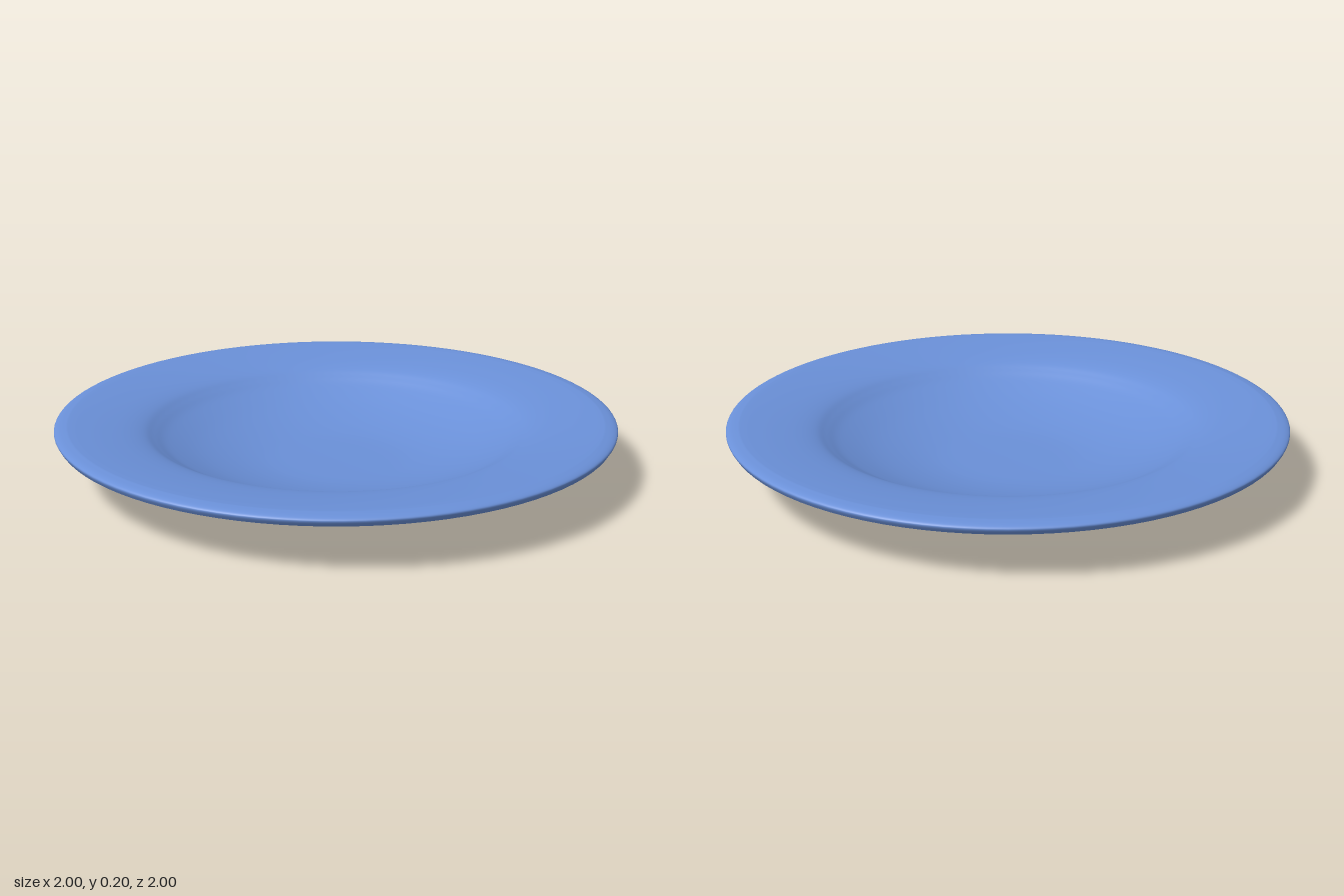
import * as THREE from 'three';

const SEGMENTS = 96;

// Smooth curve through a few [radius, height] points
function smoothProfile(points, divisions) {
  const curve = new THREE.SplineCurve(points.map(([r, y]) => new THREE.Vector2(r, y)));
  return curve.getPoints(divisions).map((p) => p.set(Math.max(p.x, 0), Math.max(p.y, 0)));
}

function lathePart(name, profile, material) {
  const mesh = new THREE.Mesh(new THREE.LatheGeometry(profile, SEGMENTS), material);
  mesh.name = name;
  return mesh;
}

export function createModel() {
  const plate = new THREE.Group();
  plate.name = 'plate';
  const glaze = new THREE.MeshStandardMaterial({ color: 0x6a90d8, side: THREE.DoubleSide });

  // Underside: flat foot, curved bowl, flat lip out to a crisp edge
  const underside = smoothProfile([
    [0, 0], [0.2, 0], [0.3, 0.009], [0.4, 0.028], [0.5, 0.057], [0.6, 0.09],
    [0.7, 0.132], [0.78, 0.157], [0.88, 0.17], [0.99, 0.17],
  ], 54);

  // Top side: outer band, rounded rim, broad lip, steeper wall and shallow well
  const rim = smoothProfile([[0.99, 0.17], [1, 0.19], [0.985, 0.2], [0.955, 0.205]], 15);
  const well = smoothProfile([
    [0.955, 0.205], [0.92, 0.203], [0.84, 0.195], [0.75, 0.182], [0.69, 0.167],
    [0.65, 0.147], [0.6, 0.121], [0.5, 0.083], [0.4, 0.056], [0.3, 0.038],
    [0.2, 0.03], [0, 0.027],
  ], 66);

  plate.add(
    lathePart('underside', underside, glaze),
    lathePart('rimAndWell', [...rim, ...well.slice(1)], glaze),
  );
  return plate;
}
